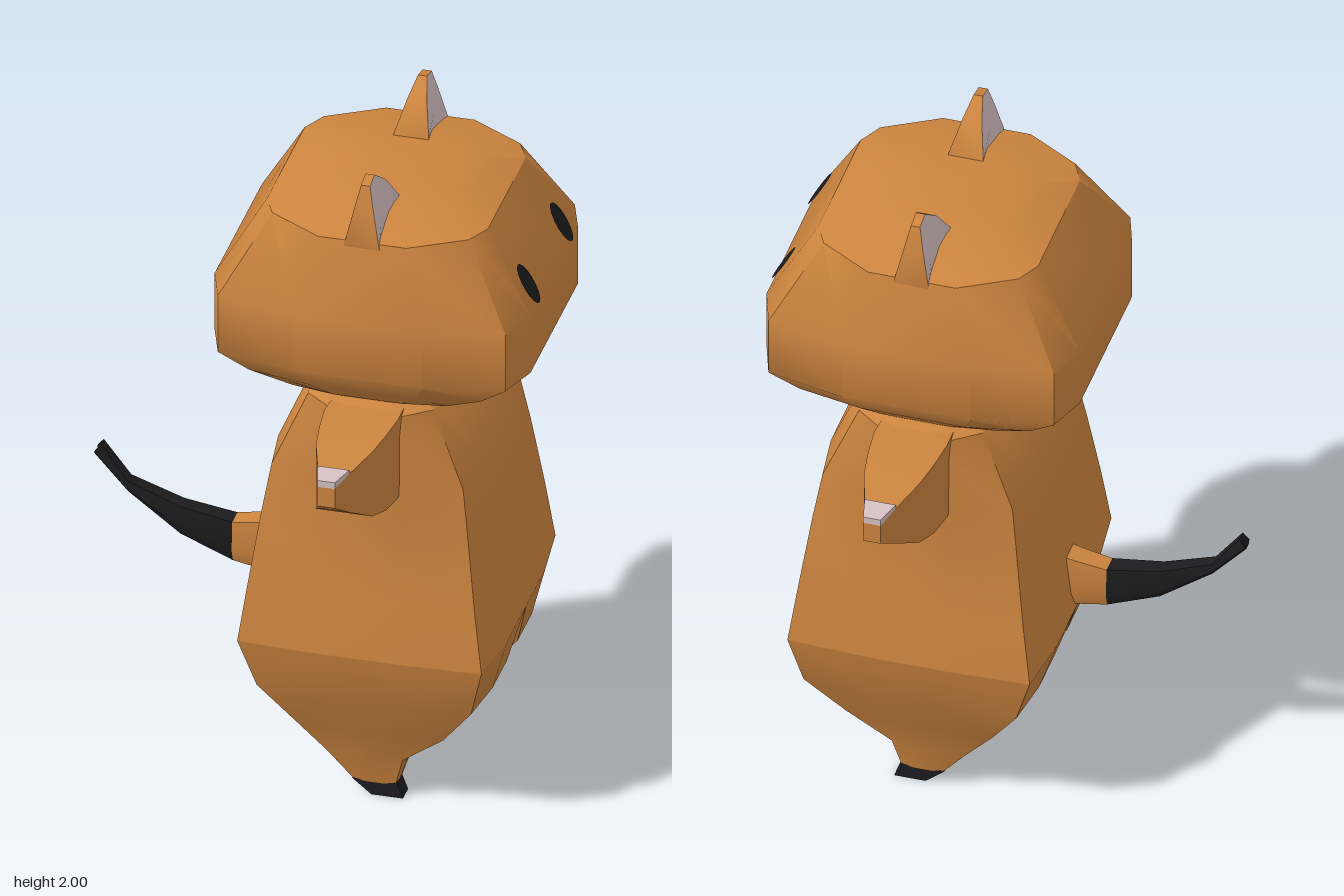
import * as THREE from 'three';
import { toCreasedNormals } from 'three/addons/utils/BufferGeometryUtils.js';

const mat = (name, color) => {
  const m = new THREE.MeshStandardMaterial({ color });
  m.name = name;
  return m;
};

// Skin a list of equal-length closed rings of [x, y, z]; group 0 = walls, group 1 = end caps
function loft(rings, crease = 0.7) {
  const n = rings[0].length;
  const pts = rings.flat();
  const wall = [], cap = [];
  for (let r = 0; r < rings.length - 1; r++) {
    for (let i = 0; i < n; i++) {
      const j = (i + 1) % n, a = r * n, b = a + n;
      wall.push(a + i, a + j, b + j, a + i, b + j, b + i);
    }
  }
  for (const r of [0, rings.length - 1]) {
    const c = pts.length;
    pts.push([0, 1, 2].map(k => rings[r].reduce((s, p) => s + p[k], 0) / n));
    for (let i = 0; i < n; i++) {
      const a = r * n + i, b = r * n + (i + 1) % n;
      if (r === 0) cap.push(c, b, a); else cap.push(c, a, b);
    }
  }
  // Turn the faces outward if the enclosed volume is negative
  const idx = [...wall, ...cap];
  const v = pts.map(p => new THREE.Vector3(...p));
  let volume = 0;
  for (let i = 0; i < idx.length; i += 3) {
    volume += v[idx[i]].dot(v[idx[i + 1]].clone().cross(v[idx[i + 2]]));
  }
  if (volume < 0) idx.reverse();
  const g = new THREE.BufferGeometry();
  g.setAttribute('position', new THREE.Float32BufferAttribute(pts.flat(), 3));
  g.setIndex(idx);
  const wallStart = volume < 0 ? cap.length : 0;
  const capStart = volume < 0 ? 0 : wall.length;
  const out = toCreasedNormals(g, crease);
  out.clearGroups();
  out.addGroup(wallStart, wall.length, 0);
  out.addGroup(capStart, cap.length, 1);
  return out;
}

// Mirror a quarter outline of [x, z] into a full ring at height y
function fourWay(y, cx, q) {
  const back = q.map(([x, z]) => [-x, z]).reverse();
  const half = [...q, ...back];
  const other = half.map(([x, z]) => [x, -z]).reverse();
  return [...half, ...other].map(([x, z]) => [cx + x, y, z]);
}

export function createModel() {
  const fur = mat('orange fur', 0xcd853f);
  const pink = mat('pale pink', 0xd8c2c4);
  const black = mat('black', 0x1c1c1e);
  const model = new THREE.Group();
  const add = (name, geometry, material) => {
    const mesh = new THREE.Mesh(geometry, Array.isArray(material) ? material : [material, material]);
    mesh.name = name;
    model.add(mesh);
    return mesh;
  };

  // Head: height, front x, front half width, corner x, corner z, side z
  const head = [
    [1.295, 0.25, 0.20, 0.22, 0.28, 0.30],
    [1.355, 0.37, 0.23, 0.33, 0.33, 0.365],
    [1.42, 0.45, 0.25, 0.41, 0.365, 0.412],
    [1.60, 0.45, 0.25, 0.41, 0.365, 0.412],
    [1.83, 0.315, 0.20, 0.28, 0.27, 0.36],
    [1.87, 0.20, 0.10, 0.17, 0.15, 0.19],
  ];
  add('head', loft(head.map(([y, fx, fz, cx, cz, sz]) =>
    fourWay(y, 0.2, [[fx, fz], [cx, cz], [cx * 0.45, sz]]))), fur);

  // Torso: height, half depth, corner z, side z
  const torso = [
    [0.52, 0.37, 0.39, 0.40],
    [0.70, 0.345, 0.37, 0.378],
    [0.92, 0.315, 0.332, 0.342],
    [1.05, 0.295, 0.305, 0.36],
    [1.27, 0.20, 0.27, 0.36],
    [1.305, 0.16, 0.20, 0.25],
  ];
  add('torso', loft(torso.map(([y, hx, cz, sz]) =>
    fourWay(y, 0.2, [[hx, cz / 2], [hx - 0.022, cz], [hx * 0.3, sz]]))), fur);

  // Tail: x, lower y, upper y, half width
  const tail = [
    [-0.08, 0.52, 0.71, 0.045], [-0.17, 0.535, 0.69, 0.04], [-0.26, 0.55, 0.675, 0.035],
    [-0.41, 0.61, 0.70, 0.03], [-0.56, 0.72, 0.755, 0.024], [-0.65, 0.825, 0.858, 0.02],
  ].map(([x, lo, hi, w]) => {
    const lean = x < -0.6 ? 0.012 : 0;
    return [[lo, -0.6], [lo + (hi - lo) * 0.3, -1], [hi, -0.8], [hi, 0.8], [lo + (hi - lo) * 0.3, 1], [lo, 0.6]]
      .map(([y, k]) => [x + (y === hi ? lean : -lean / 2), y, k * w]);
  });
  add('tailBase', loft(tail.slice(0, 3)), fur);
  add('tail', loft(tail.slice(2)), black);

  for (const s of [1, -1]) {
    const side = s > 0 ? 'left' : 'right';
    // Left is +x when facing front; the creature itself looks along +x
    // Leg: height, centre x, half depth, inner z, corner z, outer z
    const leg = [
      [0.52, 0.2, 0.37, 0, 0.39, 0.40],
      [0.37, 0.205, 0.325, 0.058, 0.36, 0.37],
      [0.23, 0.2, 0.225, 0.117, 0.288, 0.30],
      [0.13, 0.18, 0.115, 0.16, 0.258, 0.268],
      [0.04, 0.205, 0.062, 0.19, 0.243, 0.246],
    ];
    add(side + 'Leg', loft(leg.map(([y, cx, hx, zi, zc, zo]) => {
      const half = [[hx, zi], [hx, (zi + zc) / 2], [hx * 0.94, zc], [hx * 0.3, zo]];
      return [...half, ...half.map(([x, z]) => [-x, z]).reverse()].map(([x, z]) => [cx + x, y, s * z]);
    })), fur);

    // Foot: slanted black block
    const foot = [[0.045, 0.14, 0.268], [0, 0.195, 0.285]];
    add(side + 'Foot', loft(foot.map(([y, x0, x1]) =>
      [[x0, y, s * 0.19], [x1, y, s * 0.19], [x1, y, s * 0.245], [x0, y, s * 0.245]])), black);

    // Arm: z, half width, lower y, upper y
    const section = ([z, w, lo, hi]) =>
      [[0.2 - w, lo, s * z], [0.2 + w, lo, s * z], [0.2 + w, hi, s * z], [0.2 - w, hi, s * z]];
    add(side + 'Arm', loft([
      [0.25, 0.10, 1.04, 1.275], [0.37, 0.105, 1.035, 1.285], [0.46, 0.095, 1.045, 1.283],
      [0.55, 0.08, 1.075, 1.28], [0.66, 0.045, 1.145, 1.268], [0.74, 0.025, 1.20, 1.262],
    ].map(section)), fur);
    add(side + 'Paw', loft([[0.66, 0.045, 1.268, 1.28], [0.74, 0.025, 1.262, 1.282]].map(section)), pink);

    // Ear: wedge with pink sides and a fur rim; y, z, half width
    const ear = [
      [1.80, 0.155, 0.05], [1.875, 0.157, 0.05], [1.955, 0.217, 0.028], [2.0, 0.276, 0.013],
      [1.99, 0.324, 0.013], [1.93, 0.342, 0.026], [1.82, 0.366, 0.05], [1.80, 0.36, 0.05],
    ];
    add(side + 'Ear', loft([-1, 1].map(k => ear.map(([y, z, w]) => [0.2 + k * w, y, s * z]))), [fur, pink]);

    // Eye: thin oval on the sloping face
    const tilt = Math.atan2(0.135, 0.23);
    const oval = new THREE.CircleGeometry(1, 16).scale(0.036, 0.063, 1)
      .rotateX(-tilt).rotateY(Math.PI / 2);
    const eye = new THREE.Mesh(oval, black);
    eye.name = side + 'Eye';
    eye.position.set(0.624, 1.657, s * 0.173);
    model.add(eye);
  }
  return model;
}
